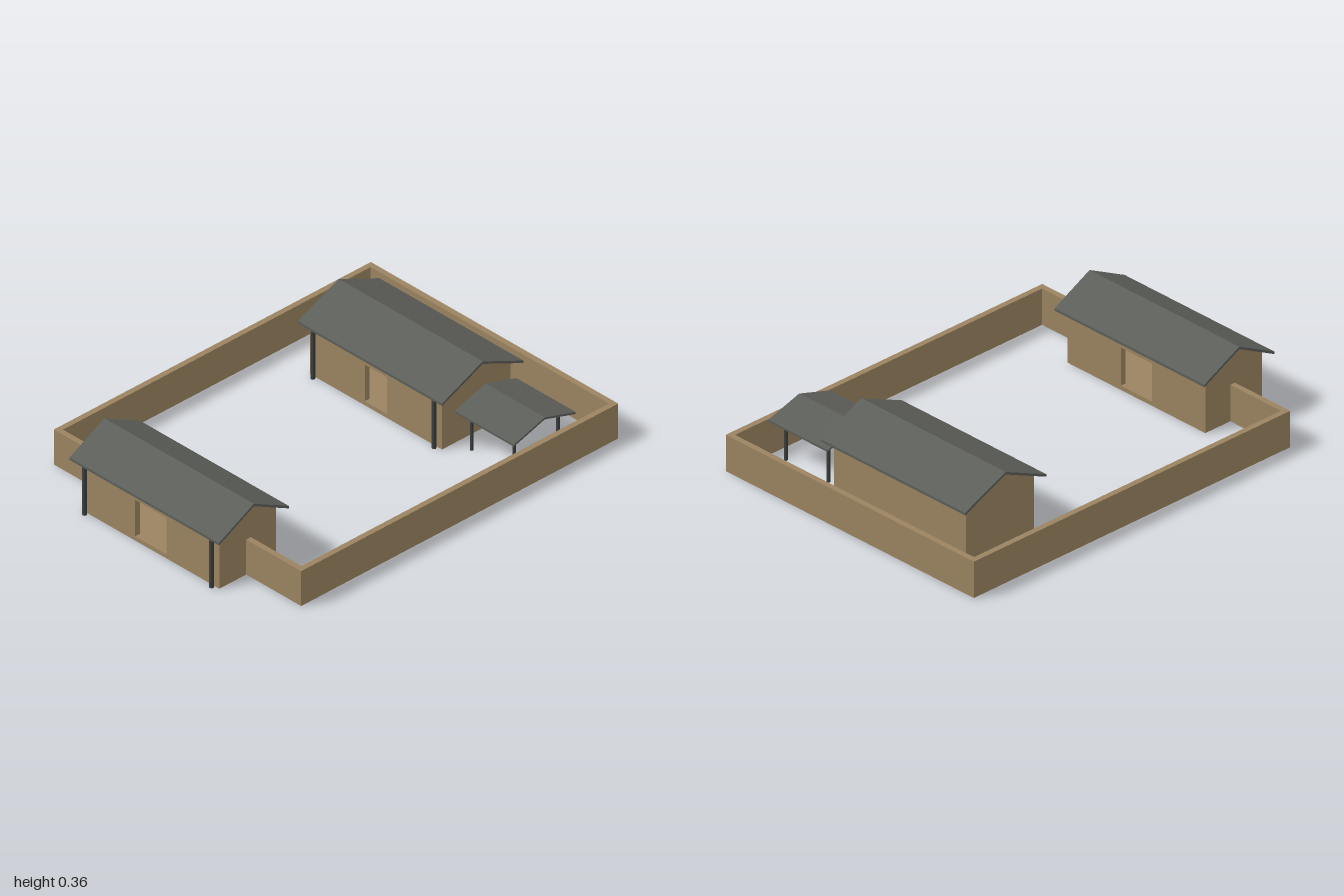
import * as THREE from 'three';

const T = 0.027; // wall thickness

export function createModel() {
  const group = new THREE.Group();
  const mat = (name, color) => Object.assign(new THREE.MeshStandardMaterial({ color, flatShading: true }), { name });
  const earth = mat('earthWall', 0x9a8360);
  const tile = mat('roofTile', 0x5c5e59);
  const timber = mat('darkTimber', 0x3c3f3d);

  const add = (parent, name, geo, material, x = 0, y = 0, z = 0) => {
    const m = new THREE.Mesh(geo, material);
    m.name = name;
    m.position.set(x, y, z);
    parent.add(m);
    return m;
  };

  // box given by its min and max corners
  const box = (parent, name, material, x0, x1, y0, y1, z0, z1) =>
    add(parent, name, new THREE.BoxGeometry(x1 - x0, y1 - y0, z1 - z0), material,
      (x0 + x1) / 2, (y0 + y1) / 2, (z0 + z1) / 2);

  // profile in (z, y) extruded along x from x0 to x1
  const extrudeX = (parent, name, material, pts, x0, x1) => {
    const shape = new THREE.Shape(pts.map(([z, y]) => new THREE.Vector2(-z, y)));
    const geo = new THREE.ExtrudeGeometry(shape, { depth: x1 - x0, bevelEnabled: false });
    geo.rotateY(Math.PI / 2);
    return add(parent, name, geo, material, x0);
  };

  // thin pitched roof: two sloping slabs meeting at the ridge
  const roof = (parent, x0, x1, z0, z1, ridge, eave, t) => {
    const zc = (z0 + z1) / 2;
    extrudeX(parent, 'pitchedRoof', tile,
      [[z0, eave], [zc, ridge], [z1, eave], [z1, eave - t], [zc, ridge - t], [z0, eave - t]], x0, x1);
  };

  const post = (parent, x, z, h, r) =>
    add(parent, 'post', new THREE.CylinderGeometry(r, r, h, 8), timber, x, h / 2, z);

  // long wall with an optional doorway, standing between z and z + T
  const longWall = (parent, name, x0, x1, z, door) => {
    const h = 0.24;
    const s = new THREE.Shape();
    s.moveTo(x0, 0).lineTo(x1, 0).lineTo(x1, h).lineTo(x0, h).closePath();
    if (door) {
      const [a, b] = door;
      const hole = new THREE.Path();
      hole.moveTo(a, 0.02).lineTo(a, 0.2).lineTo(b, 0.2).lineTo(b, 0.02).closePath();
      s.holes.push(hole);
    }
    add(parent, name, new THREE.ExtrudeGeometry(s, { depth: T, bevelEnabled: false }), earth, 0, 0, z);
  };

  // hollow house with floor, gable ends, doorways, roof and front posts
  const house = (name, o) => {
    const g = new THREE.Group();
    g.name = name;
    const { x0, x1, z0, z1, rz0, rz1 } = o;
    const ridge = 0.361, eave = 0.259, t = 0.012;
    const zc = (rz0 + rz1) / 2;
    const under = z => ridge - t - Math.abs(z - zc) * (ridge - eave) / ((rz1 - rz0) / 2);
    box(g, 'floor', earth, x0 + T, x1 - T, 0, 0.02, z0 + T, z1 - T);
    longWall(g, 'frontWall', x0 + T, x1 - T, z1 - T, o.door);
    longWall(g, 'backWall', x0 + T, x1 - T, z0, o.backDoor);
    const gable = [[z0, 0], [z0, under(z0)], [zc, under(zc)], [z1, under(z1)], [z1, 0]];
    extrudeX(g, 'gableWall', earth, gable, x0, x0 + T);
    extrudeX(g, 'gableWall', earth, gable, x1 - T, x1);
    roof(g, o.rx0, o.rx1, rz0, rz1, ridge, eave, t);
    for (const x of o.posts) post(g, x, o.postZ, 0.255, 0.01);
    group.add(g);
  };

  house('gatehouse', {
    x0: -0.408, x1: 0.408, z0: 0.64, z1: 0.963, rx0: -0.444, rx1: 0.444, rz0: 0.6, rz1: 1,
    door: [-0.093, 0.093], backDoor: [-0.093, 0.093], posts: [-0.377, 0.377], postZ: 0.978,
  });
  house('mainHouse', {
    x0: -0.492, x1: 0.292, z0: -0.81, z1: -0.42, rx0: -0.528, rx1: 0.328, rz0: -0.85, rz1: -0.385,
    door: [-0.167, -0.035], posts: [-0.46, 0.26], postZ: -0.405,
  });

  // open side shelter on four posts
  const shelter = new THREE.Group();
  shelter.name = 'sideShelter';
  roof(shelter, 0.328, 0.68, -0.81, -0.457, 0.245, 0.191, 0.01);
  for (const x of [0.378, 0.63]) for (const z of [-0.507, -0.757]) post(shelter, x, z, 0.2, 0.008);
  group.add(shelter);

  // compound wall, left open at the gatehouse
  const yard = new THREE.Group();
  yard.name = 'compoundWall';
  const W = 0.735, H = 0.172;
  box(yard, 'rearWall', earth, -W, W, 0, H, -1, -1 + T);
  box(yard, 'rightSideWall', earth, -W, -W + T, 0, H, -1 + T, 0.81);
  box(yard, 'leftSideWall', earth, W - T, W, 0, H, -1 + T, 0.81);
  box(yard, 'frontWallRight', earth, -W + T, -0.408, 0, H, 0.81 - T, 0.81);
  box(yard, 'frontWallLeft', earth, 0.408, W - T, 0, H, 0.81 - T, 0.81);
  group.add(yard);

  return group;
}
